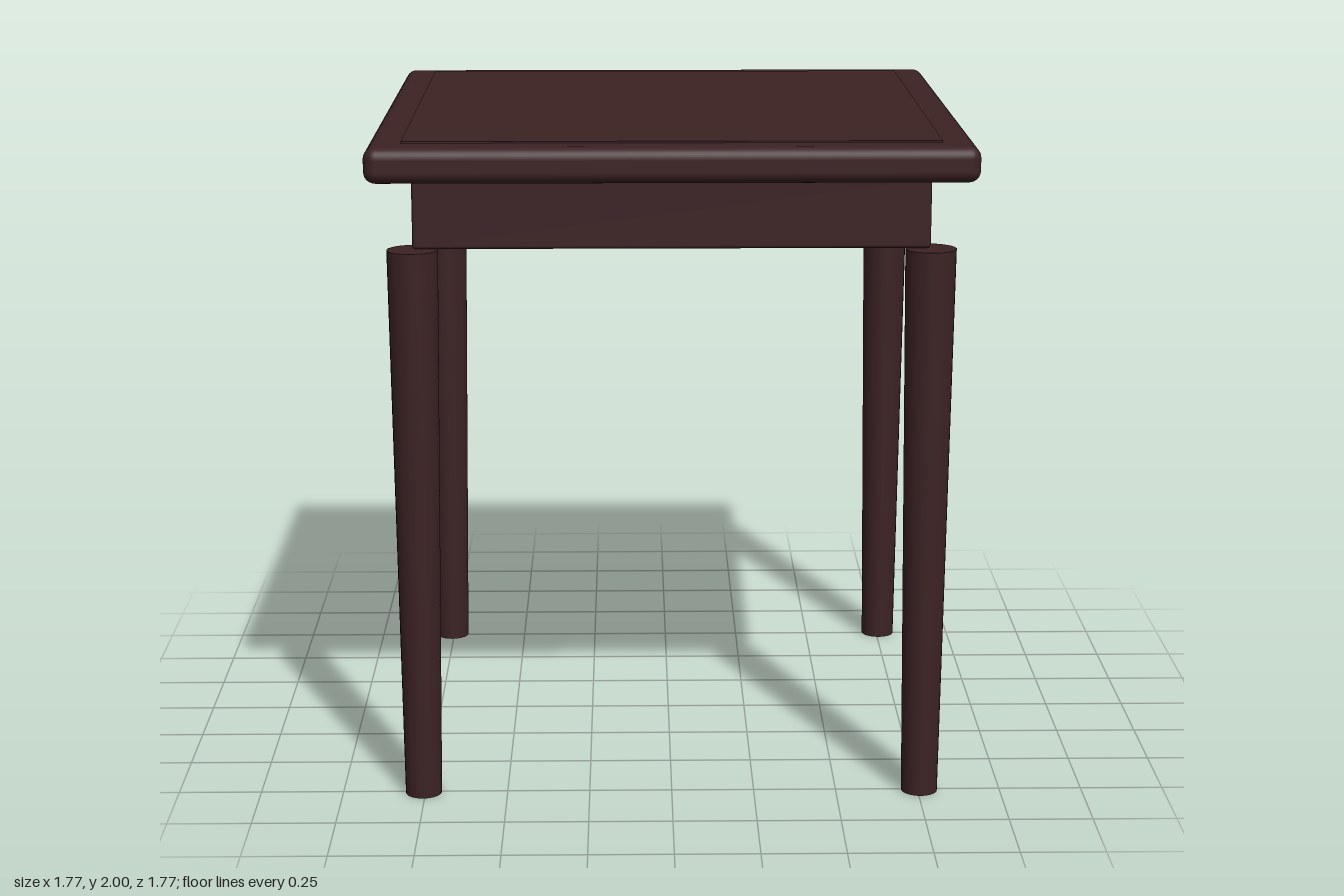
import * as THREE from 'three';
import { RoundedBoxGeometry } from 'three/addons/geometries/RoundedBoxGeometry.js';

export function createModel() {
  const group = new THREE.Group();
  const wood = new THREE.MeshStandardMaterial({ color: 0x3c2224 });
  wood.name = 'dark wood';

  const add = (name, geometry, x, y, z) => {
    const mesh = new THREE.Mesh(geometry, wood);
    mesh.name = name;
    mesh.position.set(x, y, z);
    group.add(mesh);
  };

  // A square slab with softened edges, spanning bottom to top
  const slab = (name, width, bottom, top, radius) =>
    add(name, new RoundedBoxGeometry(width, top - bottom, width, 4, radius), 0, (bottom + top) / 2, 0);

  slab('tableTop', 1.766, 1.89, 1.995, 0.035);
  slab('apron', 1.51, 1.68, 1.892, 0.01);

  // Slightly raised centre panel
  add('topPanel', new THREE.BoxGeometry(1.56, 0.009, 1.56), 0, 1.9955, 0);

  // Four round legs tapering towards the floor
  const legHeight = 1.68;
  const legGeometry = new THREE.CylinderGeometry(0.075, 0.055, legHeight, 20);
  for (const [side, x] of [['Left', 0.755], ['Right', -0.755]]) {
    for (const [end, z] of [['front', 0.755], ['back', -0.755]]) {
      add(`${end}${side}Leg`, legGeometry, x, legHeight / 2, z);
    }
  }
  return group;
}
